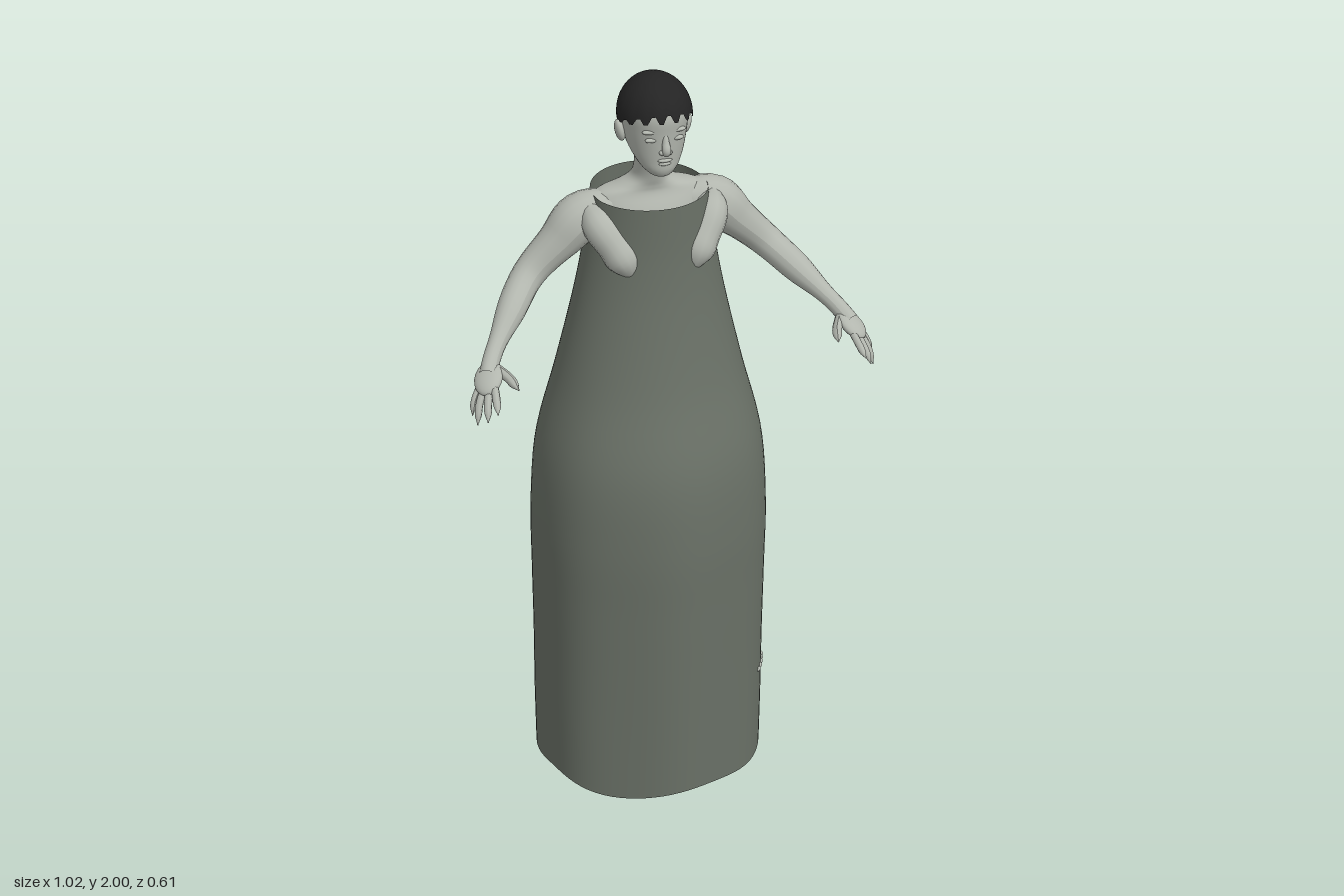
import * as THREE from 'three';

const skin = new THREE.MeshStandardMaterial({ color: 0xb2b6ae });
skin.name = 'paleSkin';
const cloth = new THREE.MeshStandardMaterial({ color: 0x697066, side: THREE.DoubleSide });
cloth.name = 'greyGreenCloth';
const black = new THREE.MeshStandardMaterial({ color: 0x242424, side: THREE.DoubleSide });
black.name = 'blackHair';

const V = (x, y, z) => new THREE.Vector3(x, y, z);

function add(parent, name, geometry, material) {
  const m = new THREE.Mesh(geometry, material);
  m.name = name;
  parent.add(m);
  return m;
}

// Smooth value of every column of a table of rows, t from 0 to 1
function sample(rows, t) {
  const f = t * (rows.length - 1);
  const i = Math.min(Math.floor(f), rows.length - 2);
  const k = f - i;
  const row = n => rows[Math.max(0, Math.min(rows.length - 1, n))];
  return rows[0].map((_, c) => {
    const [a, b, d, e] = [row(i - 1)[c], row(i)[c], row(i + 1)[c], row(i + 2)[c]];
    const m0 = (d - a) / 2, m1 = (e - b) / 2;
    return b + k * (m0 + k * (3 * (d - b) - 2 * m0 - m1 + k * (2 * (b - d) + m0 + m1)));
  });
}

// Closed-ring surface: point(angle, t) with rings running upward
function rings(point, sides, steps) {
  const pos = [], index = [];
  for (let j = 0; j <= steps; j++)
    for (let i = 0; i < sides; i++) pos.push(...point(i / sides * Math.PI * 2, j / steps));
  for (let j = 0; j < steps; j++)
    for (let i = 0; i < sides; i++) {
      const a = j * sides + i, b = j * sides + (i + 1) % sides;
      index.push(a, b, b + sides, a, b + sides, a + sides);
    }
  const g = new THREE.BufferGeometry();
  g.setAttribute('position', new THREE.Float32BufferAttribute(pos, 3));
  g.setIndex(index);
  g.computeVertexNormals();
  return g;
}

// Stack of ovals, each row: [y, centre z, half width, half depth]
const ovals = (rows, sides = 32, steps = 40) => rings((a, t) => {
  const [y, cz, rx, rz] = sample(rows, t);
  return [Math.max(rx, 0) * Math.sin(a), y, cz + Math.max(rz, 0) * Math.cos(a)];
}, sides, steps);

// Tube whose radius follows a list along its path
function limb(points, radii, steps = 24, sides = 14) {
  const curve = new THREE.CatmullRomCurve3(points.map(p => V(...p)));
  const g = new THREE.TubeGeometry(curve, steps, 1, sides);
  const pos = g.attributes.position, v = V();
  for (let i = 0; i < pos.count; i++) {
    const t = Math.floor(i / (sides + 1)) / steps;
    const c = curve.getPointAt(t);
    const r = Math.max(sample(radii.map(n => [n]), t)[0], 0.0005);
    v.fromBufferAttribute(pos, i).sub(c).multiplyScalar(r).add(c);
    pos.setXYZ(i, v.x, v.y, v.z);
  }
  g.computeVertexNormals();
  return g;
}

function ball(parent, name, p, s) {
  const m = add(parent, name, new THREE.SphereGeometry(1, 20, 14), skin);
  m.position.set(...p);
  m.scale.set(...s);
  return m;
}

// Dress rows: [y, half width, front z, back z, fold strength]
const dressRows = [
  [0.01, 0.312, 0.282, 0.306, 1], [0.2, 0.312, 0.284, 0.305, 1], [0.4, 0.31, 0.287, 0.303, 0.9],
  [0.6, 0.31, 0.29, 0.302, 0.8], [0.8, 0.309, 0.291, 0.3, 0.6], [1.0, 0.292, 0.27, 0.287, 0.4],
  [1.2, 0.24, 0.203, 0.24, 0.2], [1.4, 0.192, 0.158, 0.19, 0], [1.55, 0.163, 0.138, 0.162, 0],
  [1.69, 0.143, 0.133, 0.152, 0]];
function dressPoint(a, t) {
  const [y, w, front, back, fold] = sample(dressRows, t);
  const r = 1 + 0.015 * fold * Math.cos(7 * a);
  const c = Math.cos(a);
  const hem = 0.009 * Math.sin(5 * a + 1) * Math.max(0, 1 - t * 9);
  return [w * r * Math.sin(a), y + hem, (c > 0 ? front : back) * r * c];
}

function buildHead() {
  const head = new THREE.Group();
  head.name = 'head';
  add(head, 'skull', ovals([
    [1.764, 0.09, 0, 0], [1.768, 0.09, 0.022, 0.025], [1.785, 0.08, 0.042, 0.046],
    [1.81, 0.064, 0.058, 0.064], [1.84, 0.045, 0.07, 0.086], [1.88, 0.04, 0.077, 0.094],
    [1.92, 0.04, 0.079, 0.096], [1.955, 0.04, 0.068, 0.08], [1.985, 0.04, 0.035, 0.04],
    [1.99, 0.04, 0, 0]]), skin);
  add(head, 'nose', limb([[0, 1.885, 0.127], [0, 1.86, 0.134], [0, 1.839, 0.139], [0, 1.832, 0.128]],
    [0.005, 0.008, 0.011, 0.006]), skin);
  ball(head, 'upperLip', [0, 1.815, 0.127], [0.018, 0.005, 0.007]);
  ball(head, 'lowerLip', [0, 1.806, 0.125], [0.015, 0.005, 0.007]);
  for (const s of [-1, 1]) {
    ball(head, 'eyelid', [s * 0.032, 1.868, 0.122], [0.016, 0.006, 0.008]);
    ball(head, 'nostril', [s * 0.009, 1.837, 0.132], [0.007, 0.006, 0.008]);
    ball(head, 'brow', [s * 0.032, 1.888, 0.119], [0.022, 0.006, 0.01]);
    ball(head, 'ear', [s * 0.082, 1.862, 0.03], [0.012, 0.028, 0.018]).rotation.z = -s * 0.2;
  }
  // Cropped hair with a toothed hairline, lower at the nape
  add(head, 'hair', rings((a, t) => {
    const c = Math.cos(a);
    const tooth = (Math.round(a / (Math.PI * 2) * 60) % 4 < 2 ? 1 : -1) * 0.007 * Math.max(0, c + 0.3);
    const edge = 1.892 + 0.032 * c + tooth;
    const phi = Math.acos((edge - 1.902) / 0.098) * (1 - t);
    return [0.089 * Math.sin(phi) * Math.sin(a), 1.902 + 0.098 * Math.cos(phi),
      0.042 + 0.106 * Math.sin(phi) * c];
  }, 60, 16), black);
  return head;
}

// One arm on the +x side
function buildArm() {
  const arm = new THREE.Group();
  arm.name = 'arm';
  add(arm, 'armLimb', limb([[0.09, 1.645, -0.01], [0.16, 1.635, -0.012], [0.225, 1.575, -0.01],
    [0.305, 1.5, 0.0], [0.375, 1.437, 0.075], [0.44, 1.375, 0.16], [0.46, 1.35, 0.2]],
  [0.045, 0.06, 0.047, 0.04, 0.036, 0.023, 0.022], 36, 18), skin);
  const palm = ball(arm, 'palm', [0.461, 1.345, 0.205], [0.036, 0.017, 0.048]);
  palm.rotation.set(0.5, 0.3, -0.45);
  const fingers = [
    [[0.44, 1.36, 0.18], [0.415, 1.348, 0.225], [0.402, 1.337, 0.27], 0.012],
    [[0.452, 1.34, 0.225], [0.457, 1.322, 0.265], [0.463, 1.3, 0.305], 0.0095],
    [[0.464, 1.335, 0.225], [0.476, 1.305, 0.258], [0.484, 1.272, 0.287], 0.0095],
    [[0.475, 1.33, 0.218], [0.493, 1.295, 0.238], [0.503, 1.252, 0.257], 0.009],
    [[0.482, 1.332, 0.205], [0.501, 1.297, 0.217], [0.508, 1.262, 0.226], 0.008]];
  for (const [a, b, c, r] of fingers)
    add(arm, 'finger', limb([a, b, c], [r, r, r, r * 0.9, 0.001], 14, 8), skin);
  return arm;
}

export function createModel() {
  const model = new THREE.Group();
  model.name = 'womanInLongDress';

  add(model, 'dress', rings(dressPoint, 84, 48), cloth);
  add(model, 'torso', ovals([
    [0.86, -0.01, 0.06, 0.05], [0.95, -0.01, 0.14, 0.09], [1.1, -0.01, 0.145, 0.1],
    [1.25, 0, 0.11, 0.085], [1.4, 0, 0.115, 0.09], [1.55, 0, 0.13, 0.09],
    [1.64, -0.01, 0.14, 0.07], [1.685, -0.015, 0.135, 0.052], [1.705, -0.012, 0.08, 0.048],
    [1.725, -0.005, 0.046, 0.047], [1.76, 0.008, 0.039, 0.045], [1.81, 0.022, 0.041, 0.052],
    [1.84, 0.028, 0.042, 0.052]], 36, 60), skin);
  model.add(buildHead());

  for (const s of [-1, 1]) {
    const side = new THREE.Group();
    side.name = s > 0 ? 'leftSide' : 'rightSide';
    model.add(side);

    const arm = buildArm();
    if (s < 0) {
      // Mirror the vertices and flip the faces
      arm.traverse(m => {
        if (!m.isMesh) return;
        m.updateMatrix();
        m.geometry.applyMatrix4(m.matrix).scale(-1, 1, 1);
        m.position.set(0, 0, 0); m.rotation.set(0, 0, 0); m.scale.set(1, 1, 1);
        const ix = m.geometry.index.array;
        for (let i = 0; i < ix.length; i += 3) [ix[i], ix[i + 1]] = [ix[i + 1], ix[i]];
      });
    }
    side.add(arm);

    // Bust showing through the cloth, running up to the shoulder
    add(side, 'bust', limb([[s * 0.16, 1.665, 0.0], [s * 0.135, 1.62, 0.06], [s * 0.1, 1.565, 0.09],
      [s * 0.083, 1.525, 0.103], [s * 0.078, 1.49, 0.105]], [0.02, 0.042, 0.042, 0.04, 0.0]), skin);
    ball(side, 'buttock', [s * 0.055, 1.03, -0.07], [0.06, 0.08, 0.06]);

    // Leg, foot and toes; the left toes just break through the cloth
    const reach = s > 0 ? 1 : 0.93;
    add(side, 'leg', limb([[s * 0.075, 1.0, 0], [s * 0.115, 0.8, 0.01], [s * 0.15, 0.62, 0.015],
      [s * 0.175, 0.5, 0], [s * 0.2, 0.34, 0.03]], [0.085, 0.075, 0.05, 0.048, 0.028]), skin);
    add(side, 'foot', limb([[s * 0.185, 0.325, 0.015], [s * 0.21, 0.325, 0.06],
      [s * 0.26 * reach, 0.295, 0.125 * reach]], [0.01, 0.032, 0.02, 0.008]), skin);
    for (let i = 0; i < 5; i++) {
      const [x, , z] = dressPoint(0.97 + i * 0.06, 0.16);
      ball(side, 'toe', [s * x * reach * 0.985, 0.29, z * reach * 0.985], [0.01, 0.008, 0.01]);
    }
  }
  return model;
}
